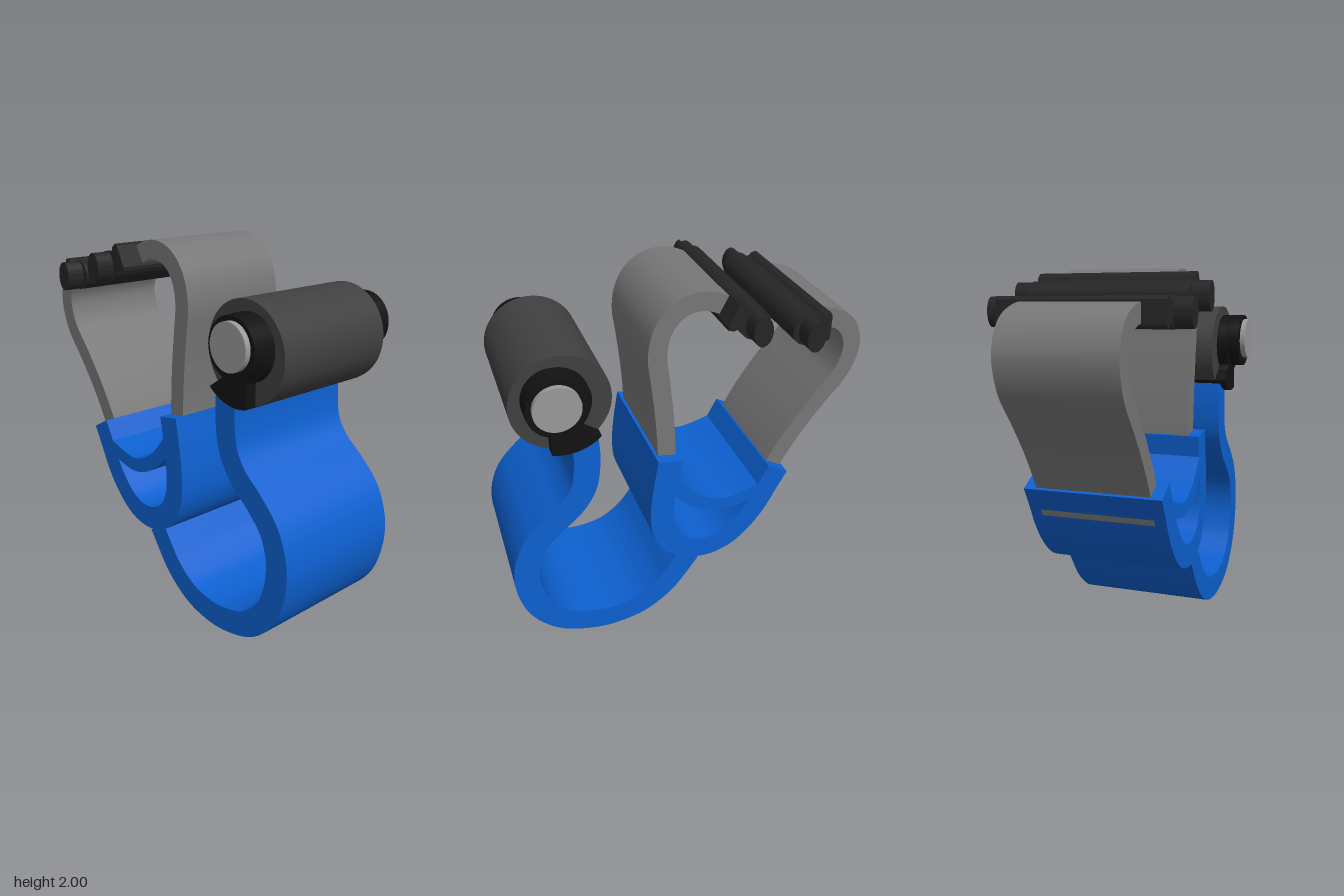
import * as THREE from 'three';
import { toCreasedNormals } from 'three/addons/utils/BufferGeometryUtils.js';

const mat = (color) => new THREE.MeshStandardMaterial({ color });
const BLUE = mat(0x0d60d0), STEEL = mat(0x777777), RUBBER = mat(0x252525);
const HEAD = mat(0x404040), BLACK = mat(0x121212), DISC = mat(0x999999);

// Flat outline extruded evenly to both sides of z = 0
function slab(name, shape, halfDepth, material) {
  const geo = new THREE.ExtrudeGeometry(shape, { depth: halfDepth * 2, bevelEnabled: false, curveSegments: 32 });
  geo.translate(0, 0, -halfDepth);
  const mesh = new THREE.Mesh(toCreasedNormals(geo, 0.5), material);
  mesh.name = name;
  return mesh;
}

// Band of constant width following a smooth centre line
function band(name, points, width, halfDepth, material, steps = 56) {
  const curve = new THREE.CatmullRomCurve3(points.map(([x, y]) => new THREE.Vector3(x, y, 0)), false, 'centripetal');
  const left = [], right = [];
  for (let i = 0; i <= steps; i++) {
    const p = curve.getPointAt(i / steps), t = curve.getTangentAt(i / steps);
    const nx = -t.y * width / 2, ny = t.x * width / 2;
    left.push(new THREE.Vector2(p.x + nx, p.y + ny));
    right.unshift(new THREE.Vector2(p.x - nx, p.y - ny));
  }
  return slab(name, new THREE.Shape([...left, ...right]), halfDepth, material);
}

// Cylinder lying along z, given as an outline
function disc(name, x, y, rx, ry, halfDepth, material) {
  const shape = new THREE.Shape().absellipse(x, y, rx, ry, 0, Math.PI * 2);
  return slab(name, shape, halfDepth, material);
}

// Ear tip: round bud, flared collar and a raised core
function earTip(name, x, y, angle) {
  const tip = new THREE.Group();
  tip.name = name;
  const body = new THREE.Group();
  body.rotation.z = angle;
  const half = [[0.04, 0.05], [0.075, 0.055], [0.09, 0.07], [0.12, 0.077], [0.13, 0.06]];
  const outline = [...half, ...half.map(([a, b]) => [a, -b]).reverse()];
  body.add(
    disc('earBud', 0, 0, 0.08, 0.08, 0.445, RUBBER),
    slab('earCollar', new THREE.Shape(outline.map((p) => new THREE.Vector2(...p))), 0.445, RUBBER),
  );
  tip.add(body, disc('earCore', 0, 0, 0.05, 0.077, 0.54, RUBBER));
  tip.position.set(x, y, 0);
  return tip;
}

export function createModel() {
  const model = new THREE.Group();
  model.name = 'stethoscope';

  // Blue tubing: long hose, U-shaped yoke and crossbar
  model.add(
    band('hose', [[0.555, 1.34], [0.55, 1.21], [0.576, 1.04], [0.645, 0.93], [0.762, 0.828], [0.863, 0.717],
      [0.916, 0.574], [0.916, 0.43], [0.858, 0.26], [0.73, 0.133], [0.566, 0.08], [0.443, 0.074],
      [0.284, 0.111], [0.141, 0.212], [0.045, 0.335], [-0.008, 0.41]], 0.138, 0.383, BLUE, 80),
    band('yoke', [[-0.536, 0.892], [-0.48, 0.79], [-0.417, 0.669], [-0.348, 0.573], [-0.258, 0.489],
      [-0.178, 0.451], [-0.098, 0.441], [-0.003, 0.462], [0.088, 0.525], [0.141, 0.637], [0.151, 0.76],
      [0.135, 0.92], [0.106, 1.094]], 0.133, 0.383, BLUE),
    band('crossbar', [[-0.43, 0.775], [-0.32, 0.743], [-0.22, 0.728], [-0.125, 0.749], [-0.02, 0.813],
      [0.05, 0.885], [0.1, 0.95]], 0.08, 0.383, BLUE, 24),
  );

  // Metal ear tubes
  model.add(
    band('rightEarTube', [[-0.682, 1.779], [-0.773, 1.763], [-0.884, 1.71], [-0.937, 1.62], [-0.943, 1.545],
      [-0.9, 1.413], [-0.778, 1.259], [-0.656, 1.094], [-0.539, 0.897], [-0.468, 0.722]], 0.1, 0.318, STEEL),
    band('leftEarTube', [[-0.204, 1.912], [-0.125, 1.944], [-0.045, 1.95], [0.045, 1.917], [0.119, 1.832],
      [0.151, 1.7], [0.135, 1.53], [0.114, 1.317], [0.104, 1.094], [0.11, 1.0]], 0.1, 0.318, STEEL),
  );

  // Ear tips
  model.add(
    earTip('rightEarTip', -0.595, 1.774, Math.PI),
    earTip('leftEarTip', -0.305, 1.853, 0.49),
  );

  // Chest piece: drum, stem, stepped rings and diaphragm
  const chest = new THREE.Group();
  chest.name = 'chestPiece';
  const stem = new THREE.Shape().moveTo(0.73, 1.47).lineTo(0.585, 1.47).lineTo(0.56, 1.42);
  stem.absarc(0.655, 1.55, 0.26, 3.95, 5.0, false);
  chest.add(
    disc('drum', 0.655, 1.55, 0.255, 0.255, 0.355, HEAD),
    slab('stem', stem, 0.415, BLACK),
    disc('outerRing', 0.68, 1.583, 0.167, 0.167, 0.415, BLACK),
    disc('innerRing', 0.692, 1.597, 0.154, 0.154, 0.48, BLACK),
    disc('diaphragm', 0.7, 1.61, 0.118, 0.118, 0.51, DISC),
  );
  model.add(chest);
  return model;
}
